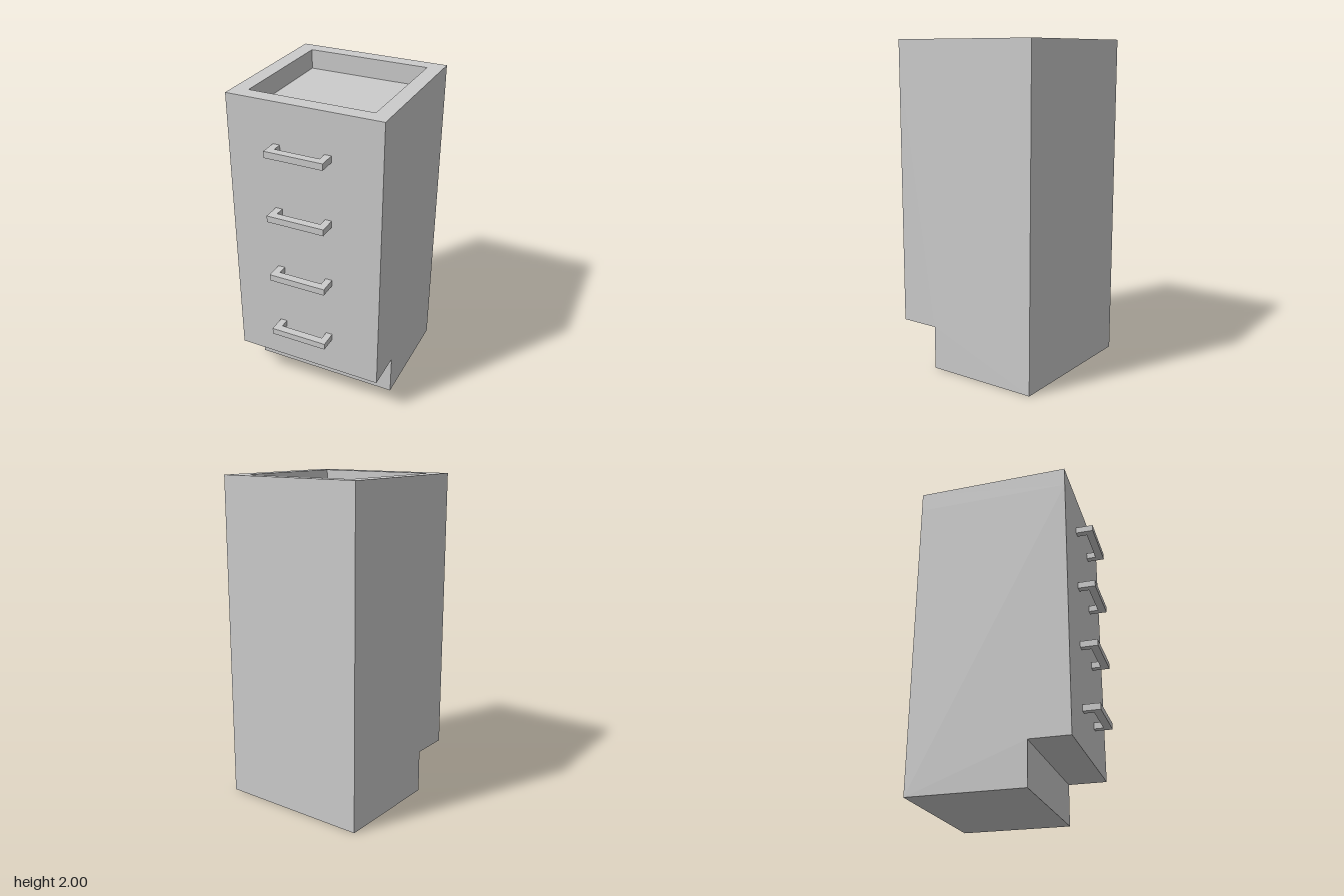
import * as THREE from 'three';

const material = new THREE.MeshStandardMaterial({ color: 0xcccccc });

const W = 0.475, BACK = -0.527, FRONT = 0.42; // cabinet half width and depth limits
const TOP = 2, RECESS = 0.12;

const polygon = (points, Type = THREE.Shape) =>
  new Type(points.map(([x, y]) => new THREE.Vector2(x, y)));

const rect = (x0, x1, z0, z1) => [[x0, z0], [x1, z0], [x1, z1], [x0, z1]];

const extrude = (shape, depth) =>
  new THREE.ExtrudeGeometry(shape, { depth, bevelEnabled: false });

// Lays a plan shape (x, z) flat so that its upper face is at height y
const slab = (shape, height, y) =>
  extrude(shape, height).rotateX(Math.PI / 2).translate(0, y, 0);

function addMesh(parent, name, geometry) {
  const mesh = new THREE.Mesh(geometry, material);
  mesh.name = name;
  parent.add(mesh);
  return mesh;
}

export function createModel() {
  const model = new THREE.Group();
  model.name = 'drawerCabinet';

  // Carcass: side profile (z, y) with the toe kick cut out, run across the width
  const profile = polygon([
    [BACK, 0], [0.175, 0], [0.175, 0.265], [FRONT, 0.265],
    [FRONT, TOP - RECESS], [BACK, TOP - RECESS],
  ]);
  addMesh(model, 'carcass',
    extrude(profile, 2 * W).rotateY(-Math.PI / 2).translate(W, 0, 0));

  // Raised rim around the recessed top
  const rim = polygon(rect(-W, W, BACK, FRONT));
  rim.holes.push(polygon(rect(-0.382, 0.382, -0.437, 0.326).reverse(), THREE.Path));
  addMesh(model, 'topRim', slab(rim, RECESS, TOP));

  // Four U-shaped drawer handles
  const grip = polygon([
    [-0.186, FRONT], [-0.144, FRONT], [-0.144, 0.479], [0.131, 0.479],
    [0.131, FRONT], [0.172, FRONT], [0.172, 0.527], [-0.186, 0.527],
  ]);
  const handleGeometry = slab(grip, 0.04, 0.02);
  for (let i = 0; i < 4; i++) {
    addMesh(model, `drawerHandle${i + 1}`, handleGeometry).position.y = 0.522 + i * 0.403;
  }

  return model;
}
